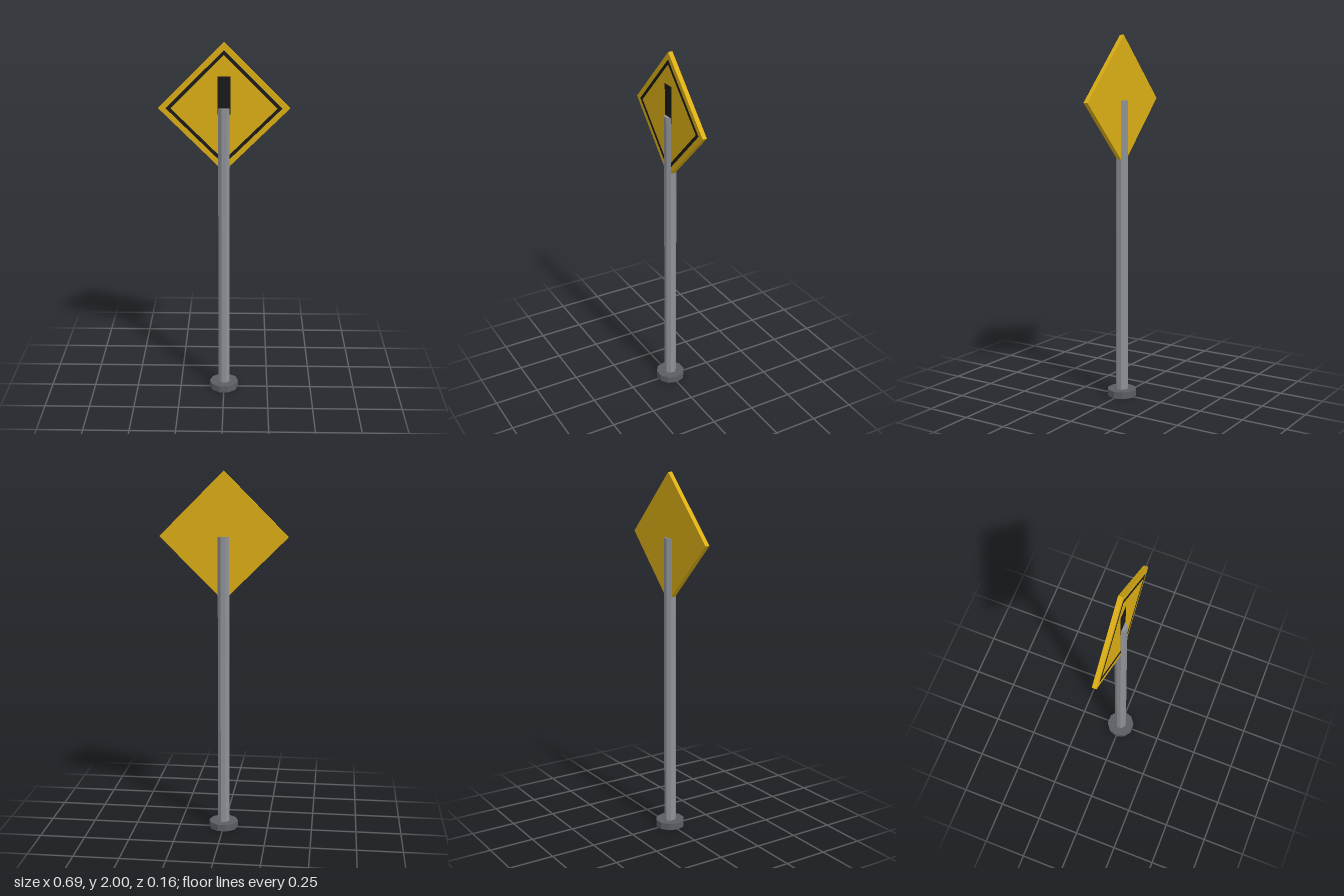
import * as THREE from 'three';

const mat = (color) => new THREE.MeshStandardMaterial({ color, flatShading: true });

// Diamond outline with the given half diagonal
function diamond(r, PathType = THREE.Shape) {
  const path = new PathType();
  path.moveTo(r, 0);
  path.lineTo(0, r);
  path.lineTo(-r, 0);
  path.lineTo(0, -r);
  path.closePath();
  return path;
}

const slab = (shape, depth) => new THREE.ExtrudeGeometry(shape, { depth, bevelEnabled: false });

// Upright prism with a flat side facing the front
const prism = (radius, height, sides) =>
  new THREE.CylinderGeometry(radius, radius, height, sides, 1, false, Math.PI / sides).translate(0, height / 2, 0);

export function createModel() {
  const model = new THREE.Group();
  const add = (name, geometry, material, x = 0, y = 0, z = 0) => {
    const mesh = new THREE.Mesh(geometry, material);
    mesh.name = name;
    mesh.position.set(x, y, z);
    model.add(mesh);
  };

  const black = mat(0x1a1a1a);
  const signY = 1.653;
  const halfDepth = 0.0123;

  // Foot and post
  add('base', prism(0.0815, 0.038, 10), mat(0x5a5d63));
  add('pole', prism(0.0335, signY, 8), mat(0x8e9196));

  // Diamond panel, with the pole ending at its centre
  add('signPanel', slab(diamond(0.347), halfDepth * 2), mat(0xdcae14), 0, signY, -halfDepth);

  // Painted border and bar on the front face
  const border = diamond(0.307);
  border.holes.push(diamond(0.282, THREE.Path));
  add('signBorder', slab(border, 0.001), black, 0, signY, halfDepth);
  add('signBar', new THREE.BoxGeometry(0.068, 0.202, 0.001), black, 0, 1.723, halfDepth + 0.0005);

  return model;
}
